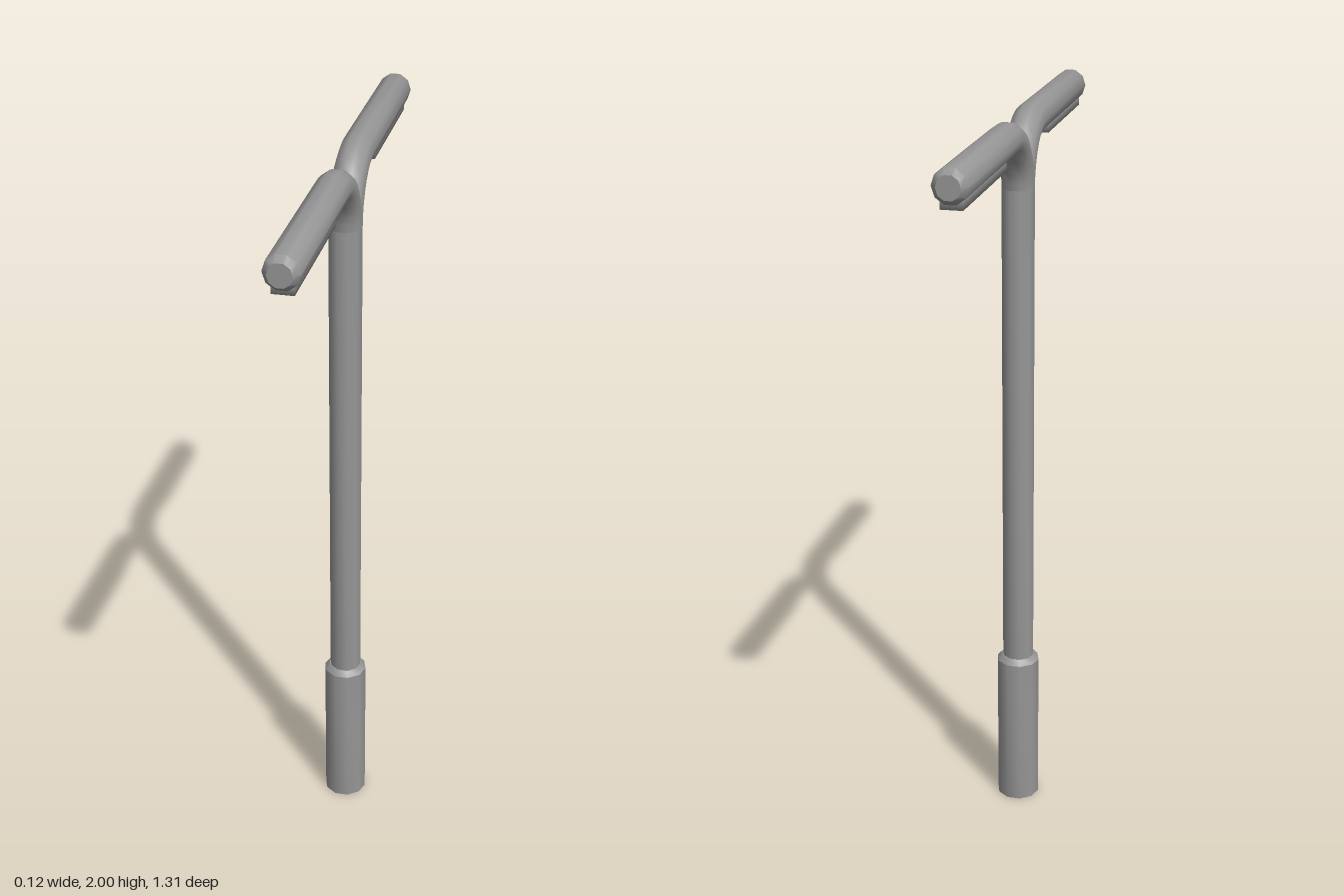
import * as THREE from 'three';
import { mergeVertices, toCreasedNormals } from 'three/addons/utils/BufferGeometryUtils.js';

const SIDES = 10;
const CREASE = 0.68;      // keeps the ten sides smooth and the chamfers sharp
const TUBE = 0.044;       // radius of post and arms
const BEND = 0.15;        // bend radius of the arms
const BEND_Y = 1.808;     // height where the arms leave the post
const REACH = 0.655;      // arm tip distance from the post axis

const material = new THREE.MeshStandardMaterial({ color: 0x969696 });

// Ten-sided turned solid with a corner on the x axis
function turned(profile) {
  const points = profile.map(([r, y]) => new THREE.Vector2(r, y));
  return new THREE.LatheGeometry(points, SIDES).rotateY(Math.PI / 2);
}

function part(name, geometry) {
  const mesh = new THREE.Mesh(geometry, material);
  mesh.name = name;
  return mesh;
}

// Straight tube along y, bent a quarter turn towards +z
function armGeometry() {
  const arc = BEND * Math.PI / 2;
  const end = arc + REACH - BEND;
  const profile = [];
  for (let i = 0; i <= 8; i++) profile.push([TUBE, arc * i / 8]);
  profile.push([TUBE, end - 0.017], [0.03, end], [0, end]);
  const geometry = turned(profile);
  const pos = geometry.attributes.position;
  for (let i = 0; i < pos.count; i++) {
    const s = pos.getY(i), offset = pos.getZ(i);
    const a = Math.min(s, arc) / BEND;
    const y = BEND_Y + BEND * Math.sin(a) - offset * Math.sin(a);
    const z = BEND * (1 - Math.cos(a)) + offset * Math.cos(a) + Math.max(0, s - arc);
    pos.setXYZ(i, pos.getX(i), y, z);
  }
  return toCreasedNormals(geometry, CREASE);
}

// Thin slab with softly shaded edges
function panelGeometry() {
  const box = new THREE.BoxGeometry(0.054, 0.03, 0.4).translate(0, 1.918, 0.43);
  box.deleteAttribute('normal');
  box.deleteAttribute('uv');
  const slab = mergeVertices(box);
  slab.computeVertexNormals();
  return slab;
}

export function createModel() {
  const model = new THREE.Group();
  model.name = 'doubleStreetLamp';

  // Wide base sleeve with a chamfered shoulder
  model.add(part('baseSleeve', toCreasedNormals(turned([
    [0, 0], [0.06, 0], [0.06, 0.442], [0.047, 0.457], [0.04, 0.457],
  ]), CREASE)));

  // Post
  model.add(part('post', toCreasedNormals(turned([[TUBE, 0.45], [TUBE, BEND_Y]]), CREASE)));

  // Two opposite arms, each with a light panel underneath
  const arm = armGeometry();
  const panel = panelGeometry();
  ['front', 'back'].forEach((side, i) => {
    const group = new THREE.Group();
    group.name = side + 'Lamp';
    group.add(part(side + 'Arm', arm), part(side + 'LightPanel', panel));
    group.rotation.y = i * Math.PI;
    model.add(group);
  });

  return model;
}
